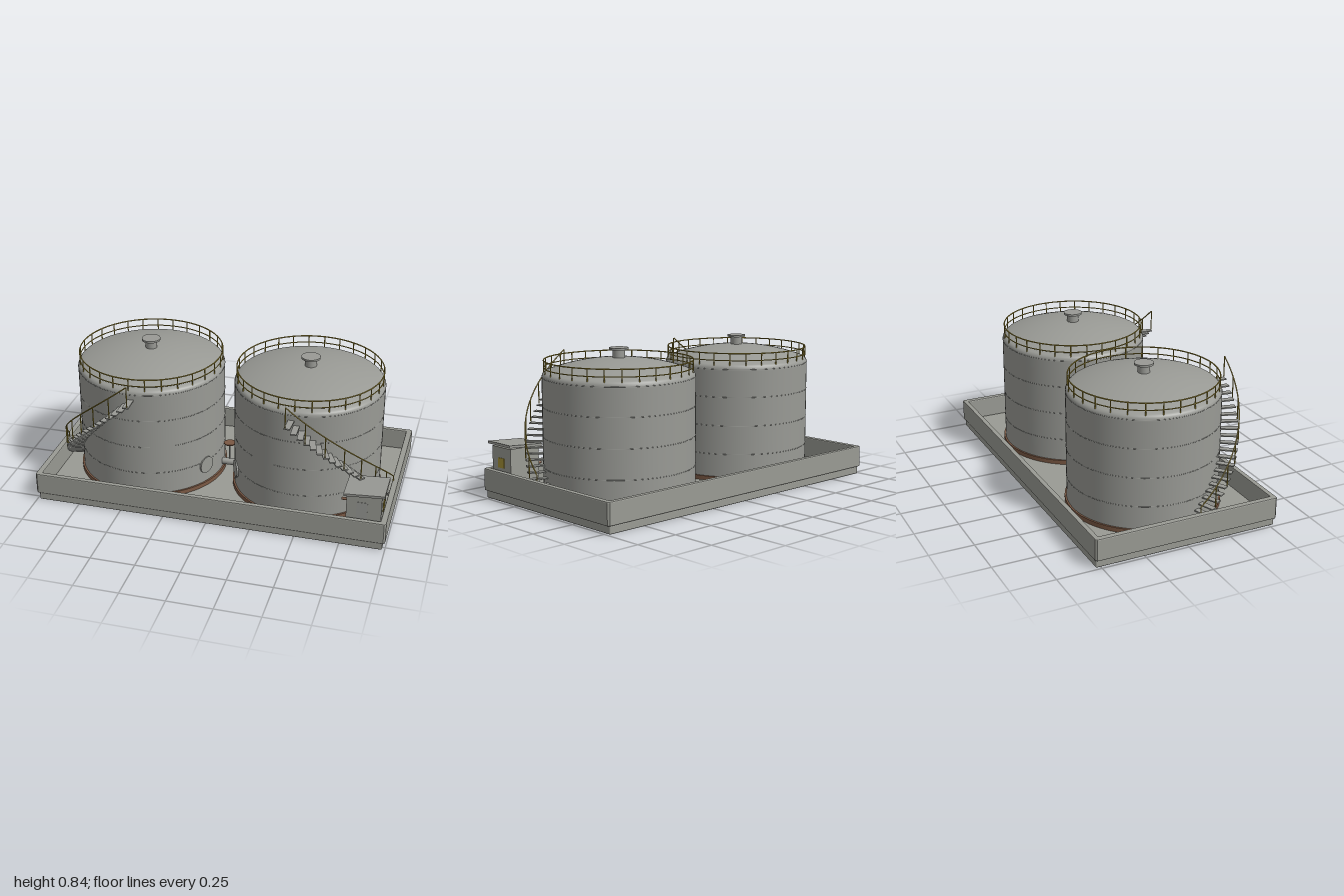
import * as THREE from 'three';
import { RoundedBoxGeometry } from 'three/addons/geometries/RoundedBoxGeometry.js';

const paint = (name, color) => {
  const m = new THREE.MeshStandardMaterial({ color });
  m.name = name;
  return m;
};
const steel = paint('steel grey', 0x999a95);
const concrete = paint('concrete grey', 0x9a9b94);
const yellow = paint('safety yellow', 0xa69238);
const rust = paint('rust brown', 0x7a5843);

const FLOOR = 0.044, R = 0.42, TANK_X = 0.463, STAIR_R = 0.515, RAIL_R = 0.408;
const rad = THREE.MathUtils.degToRad;

function add(parent, name, geometry, material, x = 0, y = 0, z = 0) {
  const mesh = new THREE.Mesh(geometry, material);
  mesh.name = name;
  mesh.position.set(x, y, z);
  parent.add(mesh);
  return mesh;
}
const box = (w, h, d) => new THREE.BoxGeometry(w, h, d);
const cyl = (r, h, n = 32) => new THREE.CylinderGeometry(r, r, h, n);

// Horizontal ring around the y axis
function ring(parent, name, r, tube, y, material) {
  const g = new THREE.TorusGeometry(r, tube, 6, 96).rotateX(Math.PI / 2);
  return add(parent, name, g, material, 0, y, 0);
}

// Places a part at an angle around the tank, its local x pointing outward
function around(mesh, side, angle, r) {
  const x = side * Math.cos(angle) * r, z = Math.sin(angle) * r;
  mesh.position.x = x;
  mesh.position.z = z;
  mesh.rotation.y = -Math.atan2(z, x);
  return mesh;
}

// Rectangle with cut corners
function rectangle(target, w, d, c) {
  const corners = [[-w + c, -d], [w - c, -d], [w, -d + c], [w, d - c], [w - c, d], [-w + c, d], [-w, d - c], [-w, -d + c]];
  return target.setFromPoints(corners.map(([x, y]) => new THREE.Vector2(x, y)));
}

function createBase() {
  const base = new THREE.Group();
  base.name = 'containmentBase';
  add(base, 'baseSlab', new RoundedBoxGeometry(1.97, FLOOR, 1.054, 2, 0.006), concrete, 0, FLOOR / 2, 0);
  const outline = rectangle(new THREE.Shape(), 1, 0.535, 0.01);
  outline.holes.push(rectangle(new THREE.Path(), 0.966, 0.506, 0.001));
  const bevel = 0.006;
  const wall = new THREE.ExtrudeGeometry(outline, {
    depth: 0.125 - 2 * bevel, bevelThickness: bevel, bevelSize: bevel, bevelOffset: -bevel, bevelSegments: 2,
  }).rotateX(-Math.PI / 2);
  add(base, 'containmentWall', wall, concrete, 0, FLOOR + bevel, 0);
  return base;
}

function createStair(side) {
  const stair = new THREE.Group();
  stair.name = 'spiralStair';
  const treadY = (deg) => 0.08 + (deg - 9) * 0.00695;
  // Treads
  for (let i = 0; i < 22; i++) {
    const deg = 8 + i * 4;
    const tread = add(stair, 'stairTread', box(0.098, 0.007, 0.034), steel, 0, treadY(deg), 0);
    around(tread, side, rad(deg), 0.467);
  }
  // Posts
  for (let deg = 9; deg <= 93; deg += 12) {
    const post = add(stair, 'stairPost', cyl(0.0032, 0.12, 8), yellow, 0, treadY(deg) + 0.06, 0);
    around(post, side, rad(deg), STAIR_R);
  }
  // Handrail
  const points = [];
  for (let deg = 9; deg <= 93; deg += 6) {
    const a = rad(deg);
    points.push(new THREE.Vector3(side * Math.cos(a) * STAIR_R, treadY(deg) + 0.12, Math.sin(a) * STAIR_R));
  }
  const path = new THREE.CatmullRomCurve3(points);
  add(stair, 'stairHandrail', new THREE.TubeGeometry(path, 60, 0.0036, 8), yellow);
  return stair;
}

function createTank(side) {
  const tank = new THREE.Group();
  tank.name = side > 0 ? 'leftTank' : 'rightTank';
  tank.position.x = side * TANK_X;

  // Shell with rolled shoulder and shallow dome
  const profile = [[R, FLOOR], [R, 0.68], [R, 0.688], [0.418, 0.699], [0.413, 0.708], [0.404, 0.716]]
    .map(([x, y]) => new THREE.Vector2(x, y));
  for (let i = 1; i <= 14; i++) {
    const t = 1 - i / 14;
    profile.push(new THREE.Vector2(0.404 * t, 0.716 + 0.073 * (1 - t * t)));
  }
  add(tank, 'tankShell', new THREE.LatheGeometry(profile, 96), steel);
  add(tank, 'foundationRing', cyl(0.43, 0.025, 96), rust, 0, FLOOR + 0.0125, 0);
  for (const y of [0.2, 0.365, 0.53, 0.69]) ring(tank, 'weldSeam', R - 0.001, 0.002, y, steel);

  // Roof vent
  add(tank, 'ventNeck', cyl(0.033, 0.065), steel, 0, 0.802, 0);
  add(tank, 'ventCap', cyl(0.053, 0.011), steel, 0, 0.838, 0);

  // Roof railing
  ring(tank, 'topRail', RAIL_R, 0.0036, 0.779, yellow);
  ring(tank, 'middleRail', RAIL_R, 0.003, 0.739, yellow);
  for (let i = 0; i < 28; i++) {
    const post = add(tank, 'railPost', cyl(0.0032, 0.07, 8), yellow, 0, 0.744, 0);
    around(post, 1, i / 28 * Math.PI * 2, RAIL_R);
  }

  // Curved access panel, flush with the shell
  const width = rad(19), middle = side > 0 ? rad(-65) : rad(65);
  const plate = new THREE.CylinderGeometry(R + 0.002, R + 0.002, 0.155, 8, 1, true, rad(90) * -side + middle * side * side - width / 2 + (side > 0 ? rad(130) : rad(-130)), width);
  plate.rotateY(0);
  add(tank, 'accessPanel', plate, steel, 0, 0.422, 0);

  // Manhole on the inner front
  const hatch = add(tank, 'manhole', cyl(0.05, 0.02).rotateZ(Math.PI / 2), steel, 0, 0.175, 0);
  around(hatch, -side, rad(27), R - 0.003);

  tank.add(createStair(side));
  return tank;
}

function createHut() {
  const hut = new THREE.Group();
  hut.name = 'pumpHut';
  hut.position.set(0.87, 0, 0.407);
  add(hut, 'hutBody', box(0.19, 0.255, 0.168), concrete, 0, FLOOR + 0.1275, 0);
  add(hut, 'hutRoof', box(0.222, 0.014, 0.202), steel, 0, 0.31, 0).rotation.z = 0.07;
  add(hut, 'hutDoor', box(0.06, 0.215, 0.004), steel, -0.01, FLOOR + 0.1075, 0.084);
  add(hut, 'warningSign', box(0.006, 0.055, 0.055), yellow, 0.096, 0.212, 0.002);
  // Pipe stub leaving the hut
  add(hut, 'hutPipe', cyl(0.008, 0.05, 16).rotateZ(Math.PI / 2), rust, -0.115, 0.19, -0.04);
  return hut;
}

function createValve() {
  const valve = new THREE.Group();
  valve.name = 'linkValve';
  add(valve, 'linkPipe', cyl(0.02, 0.12, 24).rotateZ(Math.PI / 2), steel, 0, 0.1, 0);
  add(valve, 'valveStem', cyl(0.004, 0.125, 8), steel, 0, 0.162, 0);
  add(valve, 'valveWheel', cyl(0.034, 0.006), rust, 0, 0.225, 0);
  return valve;
}

export function createModel() {
  const model = new THREE.Group();
  model.name = 'storageTanks';
  model.add(createBase(), createTank(1), createTank(-1), createHut(), createValve());
  return model;
}
